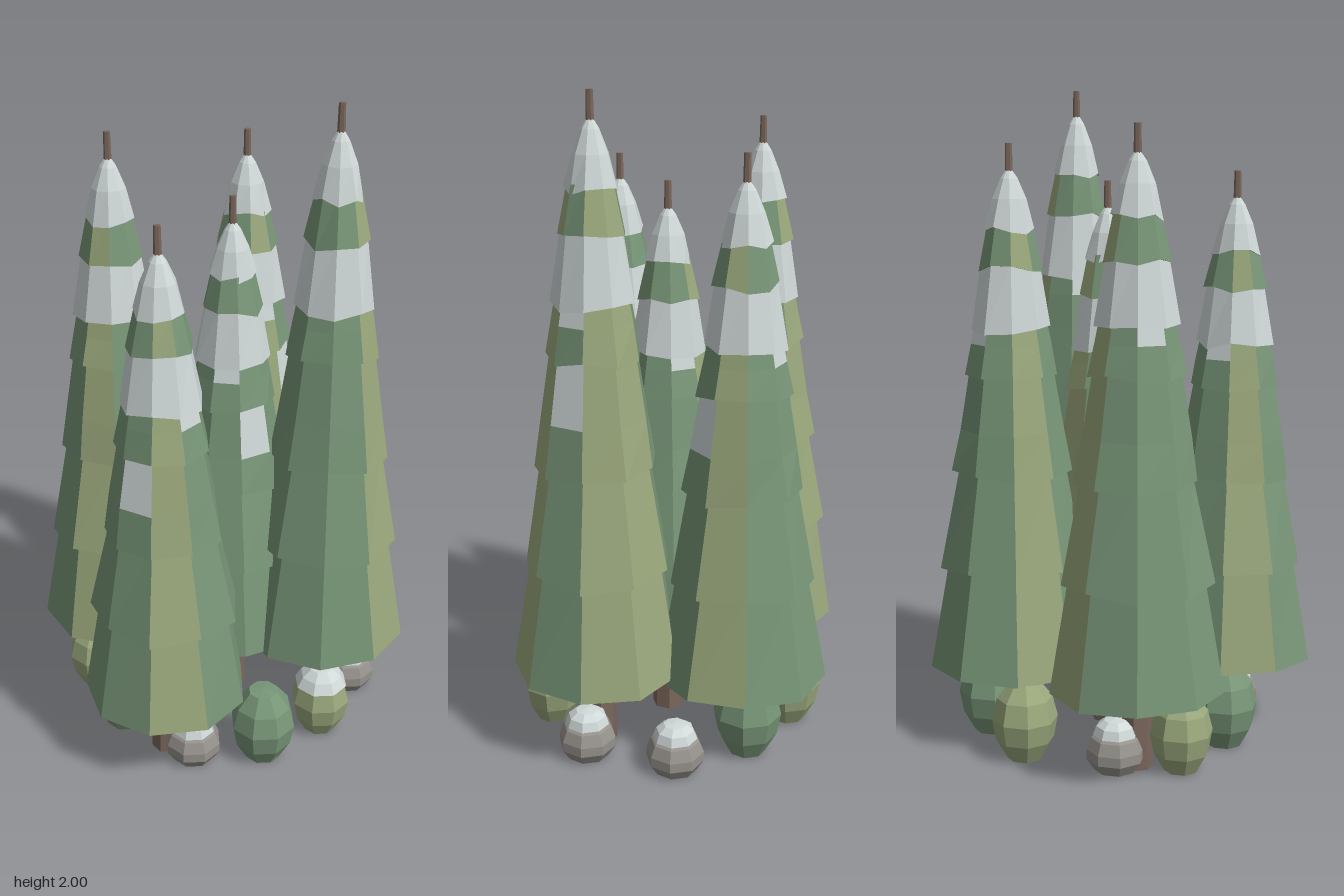
import * as THREE from 'three';

const paint = (name, color) => {
  const m = new THREE.MeshStandardMaterial({ color });
  m.name = name;
  return m;
};
const green = paint('needle green', 0x789678);
const olive = paint('olive green', 0x9aa87c);
const snow = paint('snow', 0xd0d8d8);
const bark = paint('bark', 0x7a665b);
const stone = paint('stone', 0x96928d);

const SIDES = 9;
// bottom height and radius of every bough tier, as fractions of the cone
const TIER_Y = [0, 0.21, 0.4, 0.6, 0.69, 0.81, 0.885];
const TIER_R = [1, 0.86, 0.7, 0.545, 0.47, 0.38, 0.29];

function seeded(seed) {
  return () => {
    seed = (seed * 16807) % 2147483647;
    return seed / 2147483647;
  };
}

// faceted copy with hard edges
function faceted(geo) {
  const g = geo.index ? geo.toNonIndexed() : geo;
  g.computeVertexNormals();
  return g;
}

function mesh(name, geo, material) {
  const m = new THREE.Mesh(faceted(geo), material);
  m.name = name;
  return m;
}

// stacked rings closed by an underside; colourOf(row, column) paints each facet
function ringShell(name, rings, colourOf) {
  const buckets = new Map();
  const add = (mat, ...points) => {
    if (!buckets.has(mat)) buckets.set(mat, []);
    points.forEach((p) => buckets.get(mat).push(p.x, p.y, p.z));
  };
  const centre = new THREE.Vector3(0, rings[0][0].y + 0.01, 0);
  for (let i = 0; i < SIDES; i++) {
    const j = (i + 1) % SIDES;
    add(green, rings[0][i], rings[0][j], centre);
    for (let r = 0; r + 1 < rings.length; r++) {
      const lo = rings[r], hi = rings[r + 1];
      add(colourOf(r, i), lo[j], lo[i], hi[i], lo[j], hi[i], hi[j]);
    }
  }
  const geo = new THREE.BufferGeometry();
  const all = [], mats = [];
  for (const [mat, list] of buckets) {
    geo.addGroup(all.length / 3, list.length / 3, mats.length);
    mats.push(mat);
    for (const v of list) all.push(v);
  }
  geo.setAttribute('position', new THREE.Float32BufferAttribute(all, 3));
  return mesh(name, geo, mats);
}

function makeTree({ x, z, tip, base, R, turn, olives, patch, seed }) {
  const tree = new THREE.Group();
  tree.name = 'firTree';
  tree.position.set(x, 0, z);
  const rand = seeded(seed);
  const H = tip - 0.08 - base;

  const ring = (f, r, jag) => Array.from({ length: SIDES }, (_, i) => {
    const a = THREE.MathUtils.degToRad(turn + (360 / SIDES) * i);
    const k = 1 + (rand() - 0.5) * jag * 1.5;
    return new THREE.Vector3(Math.cos(a) * r * R * k,
      base + f * H + (rand() - 0.5) * jag * 0.5, Math.sin(a) * r * R * k);
  });

  // trunk and bare leading shoot
  const trunk = mesh('trunk', new THREE.CylinderGeometry(0.042, 0.052, base + 0.1, 7), bark);
  trunk.position.y = (base + 0.1) / 2;
  const shoot = mesh('leadingShoot', new THREE.CylinderGeometry(0.01, 0.013, 0.14, 6), bark);
  shoot.position.y = tip - 0.07;
  tree.add(trunk, shoot);

  // overlapping tiers of boughs
  TIER_Y.forEach((f, t) => {
    const last = t === TIER_Y.length - 1;
    const rings = [ring(f, TIER_R[t], t ? 0.05 : 0.03)];
    if (last) {
      rings.push(ring(0.945, 0.2, 0), ring(0.985, 0.1, 0), ring(1, 0.04, 0));
    } else {
      const topF = TIER_Y[t + 1] + 0.012, topR = TIER_R[t + 1] * 0.9;
      // the third and fourth tiers carry patches of snow on their upper part
      const cut = t === 2 ? 0.42 : 0.6;
      if (t === 2 || t === 3) {
        rings.push(ring(f + (topF - f) * cut, TIER_R[t] + (topR - TIER_R[t]) * cut, 0));
      }
      rings.push(ring(topF, topR, 0));
    }
    tree.add(ringShell(last ? 'snowCap' : 'boughTier', rings, (row, i) => {
      if (last || t === 4) return snow;
      if (t === 2 && row === 1 && i === patch) return snow;
      if (t === 3 && row === 1 && (i * 2 + patch) % 5 === 0) return snow;
      return olives.includes(i) ? olive : green;
    }));
  });
  return tree;
}

function lathe(name, profile, material) {
  const pts = profile.map(([r, y]) => new THREE.Vector2(r, y));
  return mesh(name, new THREE.LatheGeometry(pts, 8), material);
}

function makeBush(x, z, material, size, snowy) {
  const bush = new THREE.Group();
  bush.name = 'bush';
  bush.add(lathe('bushBody', [[0, 0], [0.055, 0], [0.088, 0.06], [0.1, 0.125],
    [0.084, 0.19], [0.045, 0.24], [0, 0.245]], material));
  if (snowy) {
    bush.add(lathe('bushSnow', [[0.07, 0.192], [0.09, 0.19], [0.07, 0.225], [0.04, 0.25], [0, 0.255]], snow));
  }
  bush.scale.setScalar(size);
  bush.position.set(x, 0, z);
  return bush;
}

function makeStone(x, z, size) {
  const rock = new THREE.Group();
  rock.name = 'boulder';
  rock.add(lathe('boulderBody', [[0, 0], [0.065, 0], [0.088, 0.035], [0.088, 0.065],
    [0.074, 0.1], [0.062, 0.11], [0, 0.11]], stone));
  rock.add(lathe('boulderSnow', [[0.05, 0.1], [0.068, 0.108], [0.058, 0.135],
    [0.035, 0.152], [0, 0.156]], snow));
  rock.scale.setScalar(size);
  rock.position.set(x, 0, z);
  return rock;
}

export function createModel() {
  const grove = new THREE.Group();
  grove.name = 'firGrove';

  // five firs
  [
    { x: -0.3, z: 0.225, tip: 1.75, base: 0.24, R: 0.255, turn: 5.5, olives: [2, 5], patch: 3, seed: 11 },
    { x: -0.255, z: -0.235, tip: 1.88, base: 0.245, R: 0.26, turn: -6, olives: [3, 7], patch: 0, seed: 23 },
    { x: 0.205, z: -0.245, tip: 1.83, base: 0.24, R: 0.26, turn: -12, olives: [0, 2, 5], patch: 1, seed: 37 },
    { x: 0.28, z: 0.18, tip: 2, base: 0.26, R: 0.26, turn: 0, olives: [1, 7, 8], patch: 0, seed: 41 },
    { x: 0.03, z: 0.01, tip: 1.72, base: 0.26, R: 0.245, turn: 25, olives: [6], patch: 1, seed: 59 },
  ].forEach((t) => grove.add(makeTree(t)));

  // bushes around the trunks
  [
    [-0.048, 0.397, green, 1.03, false],
    [-0.38, 0.06, green, 1.03, false],
    [0.27, -0.28, green, 1.05, false],
    [0.18, 0.36, olive, 0.94, true],
    [0.05, -0.385, olive, 1, false],
    [-0.38, -0.18, olive, 0.95, false],
  ].forEach((b) => grove.add(makeBush(...b)));

  // snow-topped boulders
  [[0.38, 0.2, 1], [0.415, -0.08, 1], [-0.25, 0.31, 1], [-0.22, -0.29, 1]]
    .forEach((s) => grove.add(makeStone(...s)));

  return grove;
}
